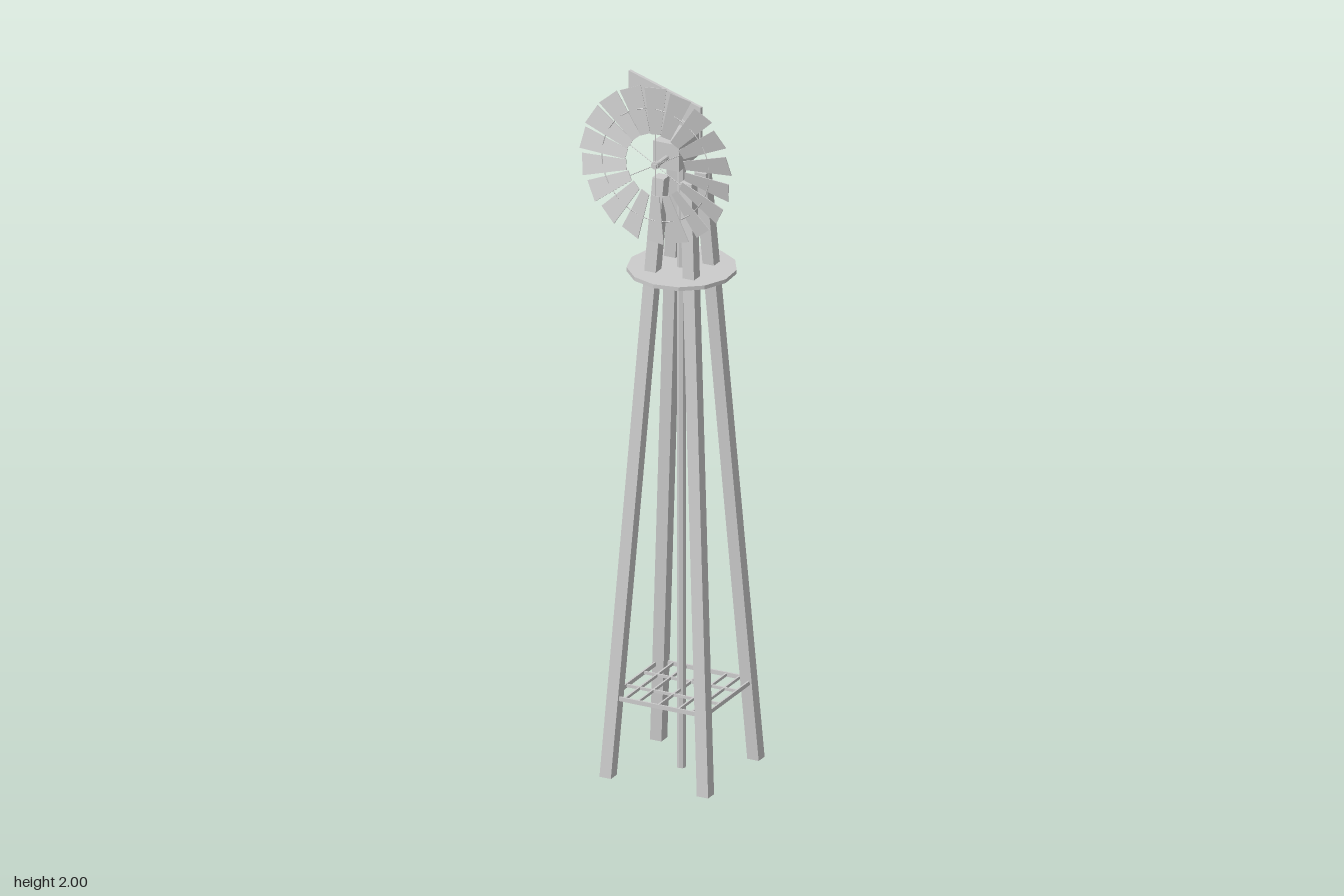
import * as THREE from 'three';

const grey = new THREE.MeshStandardMaterial({ color: 0xcccccc, flatShading: true, side: THREE.DoubleSide });
const AXIS = { x: 0.026, z: 0.029 }; // tower centre line
const HUB_Y = 1.78;

function add(parent, name, geometry, x = 0, y = 0, z = 0) {
  const mesh = new THREE.Mesh(geometry, grey);
  mesh.name = name;
  mesh.position.set(x, y, z);
  parent.add(mesh);
  return mesh;
}

// Move every vertex of a geometry by a rule
function reshape(geometry, rule) {
  const p = geometry.attributes.position;
  const v = new THREE.Vector3();
  for (let i = 0; i < p.count; i++) {
    rule(v.fromBufferAttribute(p, i));
    p.setXYZ(i, v.x, v.y, v.z);
  }
  geometry.computeVertexNormals();
  return geometry;
}

function createTower() {
  const tower = new THREE.Group();
  tower.name = 'tower';
  tower.position.set(AXIS.x, 0, AXIS.z);

  // Four legs leaning in towards the top
  const height = 1.7, width = 0.034;
  for (const sx of [-1, 1]) for (const sz of [-1, 1]) {
    const leg = reshape(new THREE.BoxGeometry(width, height, width), (v) => {
      const t = v.y / height + 0.5;
      const offset = THREE.MathUtils.lerp(0.162, 0.058, t) - width / 2;
      v.x += sx * offset;
      v.z += sz * offset;
    });
    add(tower, 'leg', leg, 0, height / 2, 0);
  }

  // Centre pole and round platform
  add(tower, 'centrePole', new THREE.CylinderGeometry(0.0125, 0.0125, 1.75, 8), -0.002, 0.875, 0);
  const platform = add(tower, 'platform', new THREE.CylinderGeometry(0.147, 0.147, 0.011, 13), 0, 1.43, 0);
  platform.rotation.y = THREE.MathUtils.degToRad(190);

  // Lower grating: outer frame and inner bars
  const half = 0.14, y = 0.225, bar = 0.005;
  for (const s of [-1, 1]) {
    add(tower, 'gratingFrame', new THREE.BoxGeometry(2 * half, 0.012, bar), 0, y, s * half);
    add(tower, 'gratingFrame', new THREE.BoxGeometry(bar, 0.012, 2 * half), s * half, y, 0);
  }
  for (const x of [-0.1, -0.06, 0, 0.06, 0.1])
    add(tower, 'gratingBar', new THREE.BoxGeometry(bar, 0.008, 2 * half), x, y, 0);
  for (const z of [-0.05, 0.05])
    add(tower, 'gratingCrossBar', new THREE.BoxGeometry(2 * half, 0.008, bar), 0, y, z);
  return tower;
}

function createWheel() {
  const wheel = new THREE.Group();
  wheel.name = 'wheel';
  wheel.position.set(0.025, HUB_Y, 0.179);

  // Pitched blades, widening outwards
  const count = 18, inner = 0.088, outer = 0.221;
  const blade = reshape(new THREE.BoxGeometry(1, outer - inner, 0.002), (v) => {
    v.x *= v.y > 0 ? 0.06 : 0.028;
    v.y += (inner + outer) / 2;
  });
  blade.rotateY(0.25);
  for (let i = 0; i < count; i++)
    add(wheel, 'blade', blade).rotation.z = (i / count) * Math.PI * 2;

  // Wire ring, spokes and hub
  add(wheel, 'bladeRing', new THREE.TorusGeometry(0.16, 0.0015, 4, 36));
  for (let i = 0; i < 6; i++) {
    const spoke = new THREE.CylinderGeometry(0.001, 0.001, 0.16, 4).translate(0, 0.08, 0);
    add(wheel, 'spoke', spoke).rotation.z = (i / 6) * Math.PI * 2;
  }
  add(wheel, 'hub', new THREE.CylinderGeometry(0.011, 0.011, 0.012, 8).rotateX(Math.PI / 2));
  return wheel;
}

function createTail() {
  const tail = new THREE.Group();
  tail.name = 'tail';

  // Flat arm running diagonally from the shaft to the vane
  const a = new THREE.Vector3(0.027, HUB_Y, -0.052);
  const b = new THREE.Vector3(-0.105, HUB_Y, -0.163);
  const arm = add(tail, 'tailArm', new THREE.BoxGeometry(0.004, 0.014, a.distanceTo(b)));
  arm.position.lerpVectors(a, b, 0.5);
  arm.lookAt(b);

  // Vane, flaring towards its free end
  const shape = new THREE.Shape([
    new THREE.Vector2(0, -0.053), new THREE.Vector2(0, 0.045),
    new THREE.Vector2(-0.254, 0.082), new THREE.Vector2(-0.252, -0.088),
  ]);
  const vane = new THREE.ExtrudeGeometry(shape, { depth: 0.009, bevelEnabled: false });
  add(tail, 'tailVane', vane.translate(0, 0, -0.0045), 0, HUB_Y, -0.133).rotation.y = -0.245;
  return tail;
}

export function createModel() {
  const model = new THREE.Group();
  model.name = 'windPump';
  model.add(createTower());

  // Gearbox, slightly narrower at the back
  const box = reshape(new THREE.BoxGeometry(0.078, 0.075, 0.127), (v) => {
    if (v.z < 0) v.x *= 0.82;
  });
  add(model, 'gearbox', box, 0.025, 1.783, 0.055);

  // Drive shaft through the gearbox
  const shaft = new THREE.CylinderGeometry(0.0065, 0.0065, 0.247, 8).rotateX(Math.PI / 2);
  add(model, 'shaft', shaft, 0.027, HUB_Y, 0.0685);

  model.add(createWheel(), createTail());
  return model;
}
